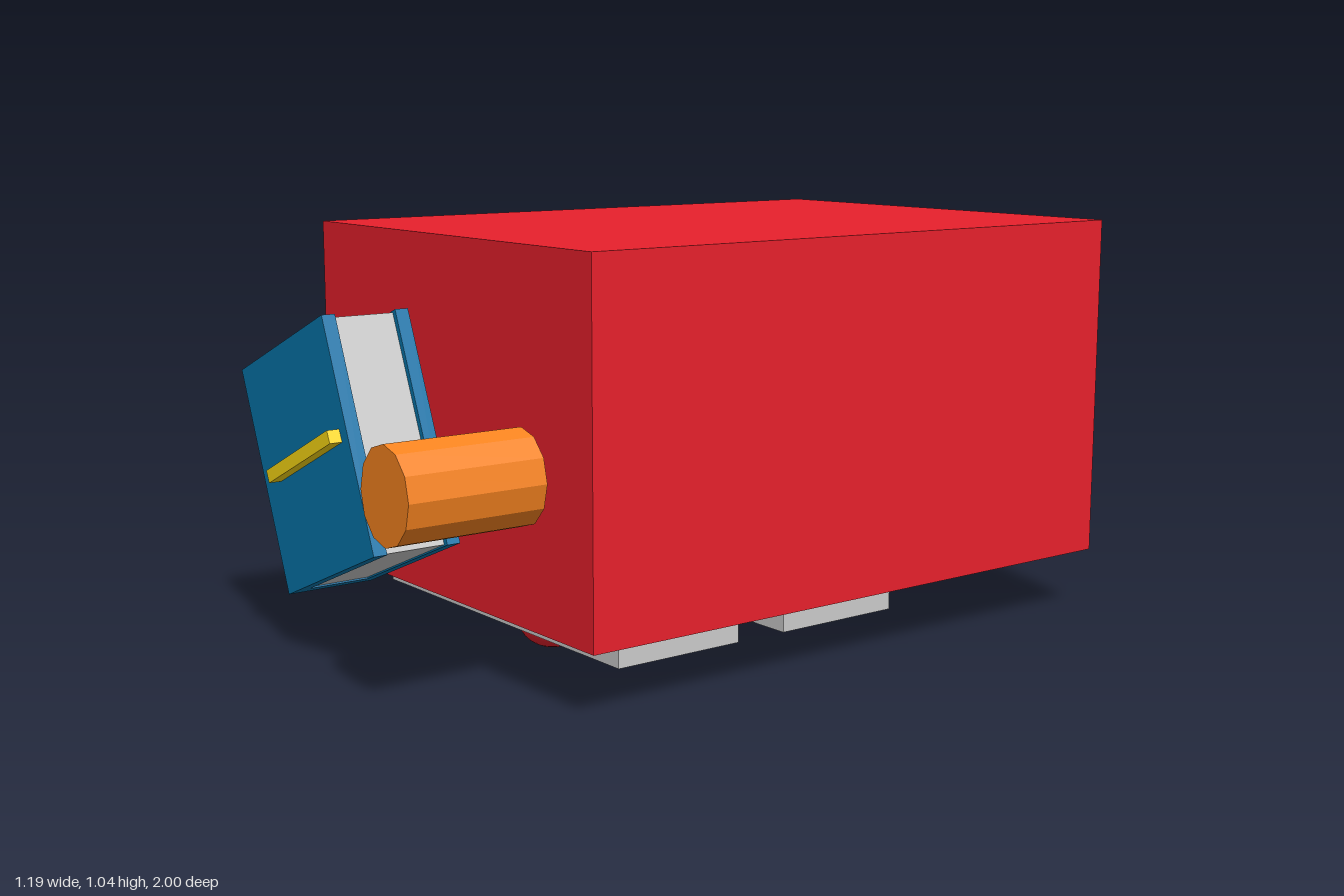
import * as THREE from 'three';

const mat = (color, flat = false) => new THREE.MeshStandardMaterial({ color, flatShading: flat });

export function createModel() {
  const model = new THREE.Group();
  const red = mat(0xe8202c), blue = mat(0x0476ab), orange = mat(0xf88420, true);
  const yellow = mat(0xfedb14), grey = mat(0xcccccc);

  const add = (parent, name, geometry, material, x, y, z) => {
    const mesh = new THREE.Mesh(geometry, material);
    mesh.name = name;
    mesh.position.set(x, y, z);
    parent.add(mesh);
    return mesh;
  };
  const box = (parent, name, material, x0, x1, y0, y1, z0, z1) =>
    add(parent, name, new THREE.BoxGeometry(x1 - x0, y1 - y0, z1 - z0), material,
      (x0 + x1) / 2, (y0 + y1) / 2, (z0 + z1) / 2);
  // Counter-clockwise rectangle on the ground plan
  const rect = (path, x0, x1, z0, z1) => path.setFromPoints([
    new THREE.Vector2(x0, -z1), new THREE.Vector2(x1, -z1),
    new THREE.Vector2(x1, -z0), new THREE.Vector2(x0, -z0)]);

  // Cabinet lying on its face, with an empty drawer slot open underneath
  const cabinet = new THREE.Group();
  cabinet.name = 'cabinet';
  model.add(cabinet);
  const outline = rect(new THREE.Shape(), -0.597, 0.597, -1, 0.63);
  outline.holes.push(rect(new THREE.Path(), -0.51, 0.51, -0.825, -0.47));
  const shell = new THREE.ExtrudeGeometry(outline, { depth: 0.81, bevelEnabled: false });
  shell.rotateX(-Math.PI / 2);
  add(cabinet, 'cabinetShell', shell, red, 0, 0.158, 0);
  box(cabinet, 'cabinetBack', red, -0.597, 0.597, 0.968, 1.037, -1, 0.63);

  // Two drawers, each with a round knob
  for (const z of [0.335, -0.155]) {
    const drawer = new THREE.Group();
    drawer.name = 'drawer';
    model.add(drawer);
    box(drawer, 'drawerFront', grey, -0.491, 0.525, 0.088, 0.2, z - 0.175, z + 0.175);
    const knobZ = z > 0 ? 0.353 : z;
    add(drawer, 'knob', new THREE.SphereGeometry(1, 32, 16), red, 0.034, 0.07, knobZ)
      .scale.set(0.087, 0.07, 0.087);
  }

  // Tilted book: two covers, a spine and the page block
  const book = new THREE.Group();
  book.name = 'book';
  book.position.set(-0.219, 0.5, 0.78);
  book.rotation.z = THREE.MathUtils.degToRad(22.4);
  model.add(book);
  const w = 0.235, h = 0.289;
  box(book, 'frontCover', blue, -w, w, -h, h, 0.08, 0.115);
  box(book, 'backCover', blue, -w, w, -h, h, -0.115, -0.08);
  box(book, 'spine', blue, -w, -w + 0.05, -h, h, -0.08, 0.08);
  box(book, 'pages', grey, -w + 0.05, w - 0.014, -h + 0.004, h - 0.004, -0.08, 0.08);

  // Raised strip on the front cover
  const strip = add(model, 'coverStrip', new THREE.BoxGeometry(0.352, 0.032, 0.04), yellow,
    -0.195, 0.511, 0.907);
  strip.rotation.z = THREE.MathUtils.degToRad(24.3);

  // Twelve-sided handle, slightly taller than wide
  const handle = new THREE.CylinderGeometry(1, 1, 0.35, 12);
  handle.rotateX(Math.PI / 2);
  handle.scale(0.103, 0.114, 1);
  add(model, 'handle', handle, orange, 0.351, 0.518, 0.825);

  return model;
}
